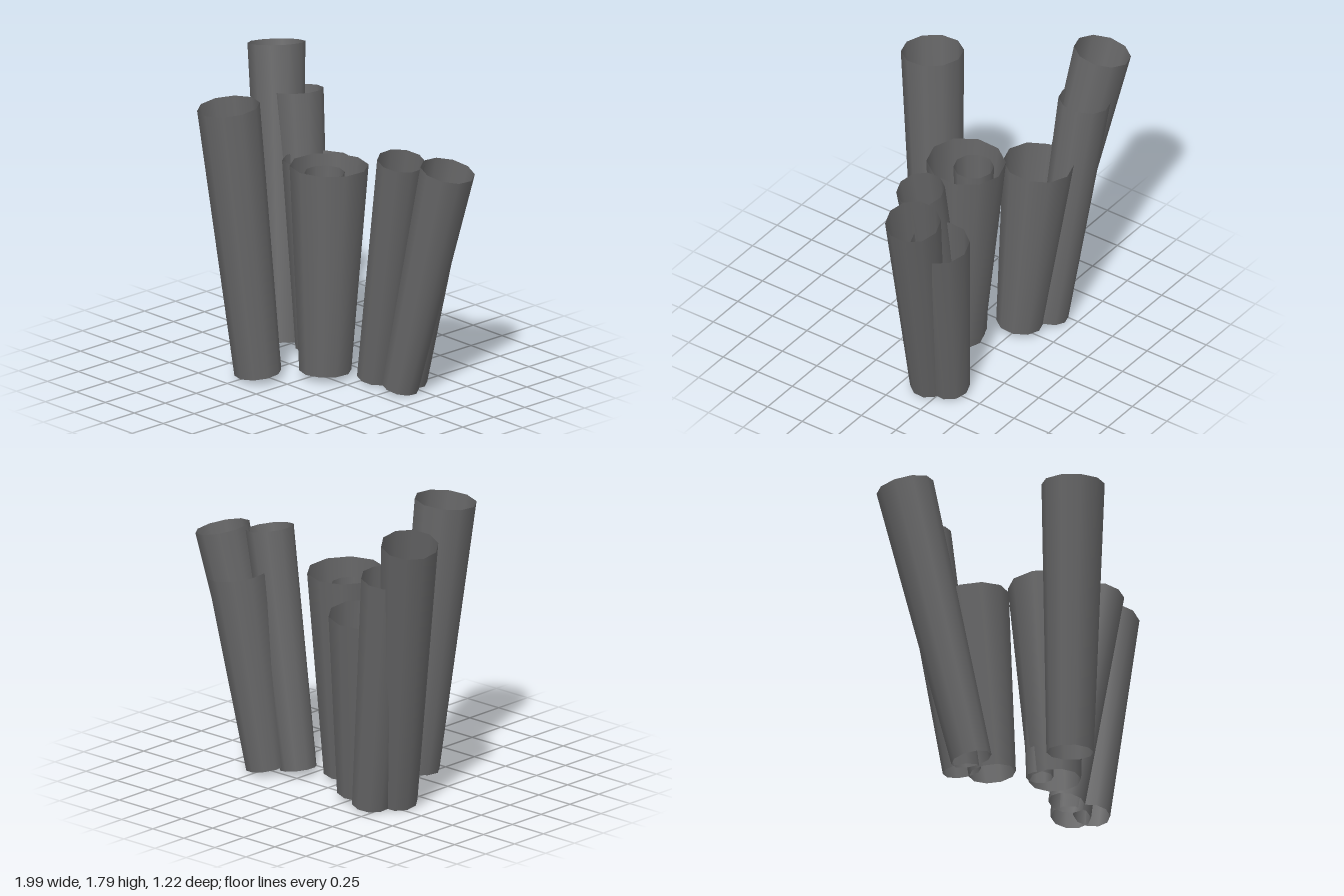
import * as THREE from 'three';

const SIDES = 10;

// Open tapered tube between two points; its rims are square to its axis.
function taperedTube(name, bottom, bottomRadius, top, topRadius, material) {
  const a = new THREE.Vector3(...bottom);
  const b = new THREE.Vector3(...top);
  const axis = b.clone().sub(a);
  const geometry = new THREE.CylinderGeometry(topRadius, bottomRadius, axis.length(), SIDES, 1, true);
  const mesh = new THREE.Mesh(geometry, material);
  mesh.name = name;
  mesh.quaternion.setFromUnitVectors(new THREE.Vector3(0, 1, 0), axis.normalize());
  mesh.position.copy(a).add(b).multiplyScalar(0.5);
  return mesh;
}

export function createModel() {
  const group = new THREE.Group();
  group.name = 'tubeCluster';
  const grey = new THREE.MeshStandardMaterial({ color: 0x666667, side: THREE.DoubleSide });
  grey.name = 'dark grey';

  // name, bottom centre, bottom radius, top centre, top radius
  const tubes = [
    ['tallRightTube', [-0.51, 0.03, -0.20], 0.122, [-0.833, 1.757, -0.44], 0.172],
    ['tallFrontTube', [-0.20, 0.035, 0.30], 0.14, [-0.32, 1.70, 0.425], 0.187],
    ['rearRightTube', [-0.43, 0.025, -0.34], 0.115, [-0.65, 1.51, -0.44], 0.155],
    ['shortRightTube', [-0.26, 0.04, -0.25], 0.14, [-0.35, 1.18, -0.32], 0.21],
    ['centreTube', [0.04, 0.035, -0.02], 0.155, [0.025, 1.303, -0.065], 0.235],
    ['centreInnerTube', [-0.04, 0.04, -0.07], 0.08, [-0.03, 1.24, -0.08], 0.12],
    ['innerLeftTube', [0.318, 0.03, -0.165], 0.11, [0.58, 1.46, -0.13], 0.145],
    ['outerLeftTube', [0.54, 0.025, -0.16], 0.11, [0.84, 1.435, -0.26], 0.165],
    ['rearLeftTube', [0.48, 0.025, -0.27], 0.12, [0.66, 1.20, -0.325], 0.178],
  ];
  for (const tube of tubes) group.add(taperedTube(...tube, grey));

  // Narrow liners deep inside the taller tubes
  for (const i of [0, 1, 6, 7]) {
    const [name, bottom, , top] = tubes[i];
    const along = (t) => bottom.map((v, k) => v + (top[k] - v) * t);
    group.add(taperedTube(name + 'Liner', along(0.6), 0.08, along(0.78), 0.095, grey));
  }
  return group;
}
